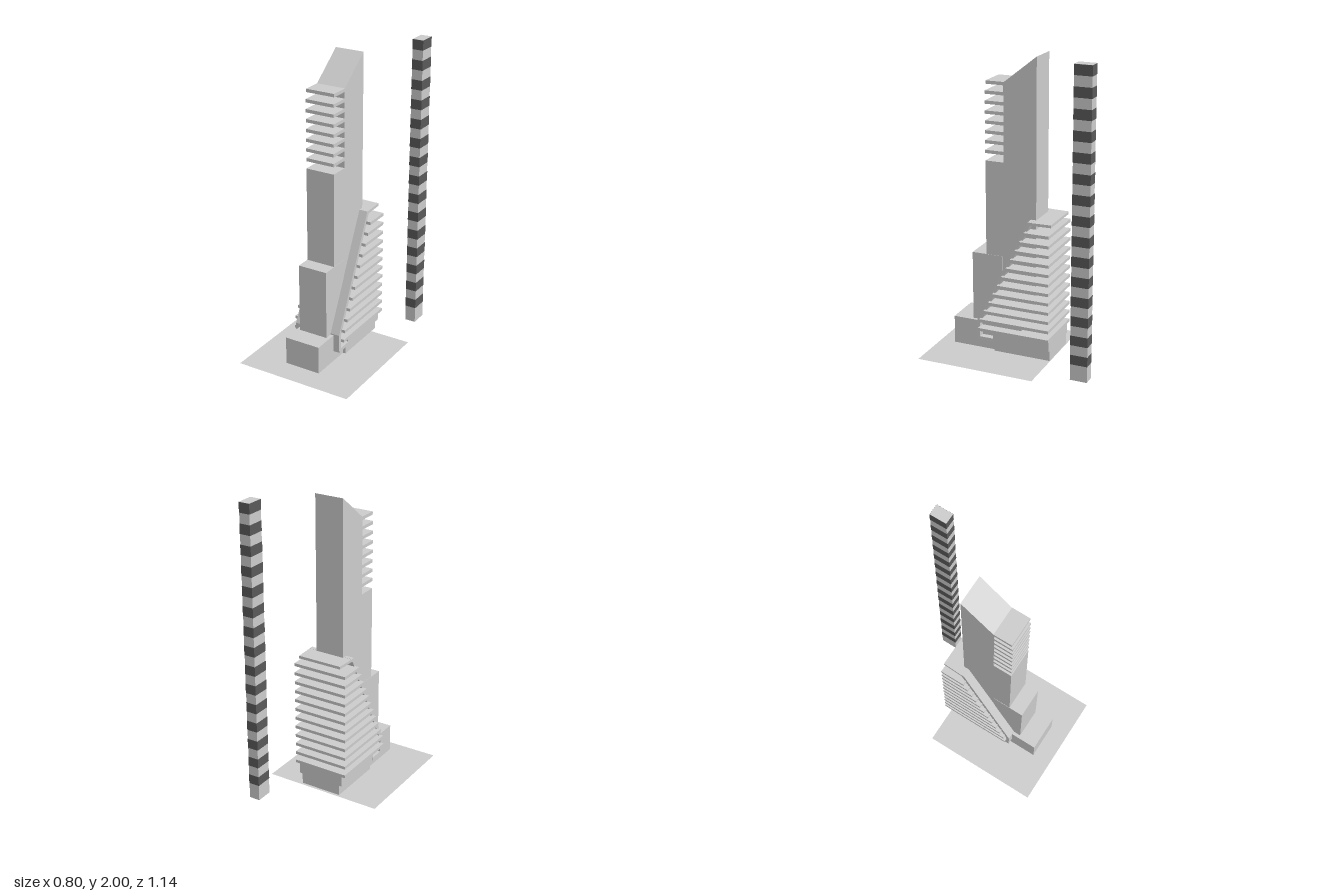
import * as THREE from 'three';

const grey = new THREE.MeshStandardMaterial({ color: 0xcccccc, flatShading: true });
const dark = new THREE.MeshStandardMaterial({ color: 0x595959, flatShading: true });

function add(parent, name, geometry, material = grey) {
  const mesh = new THREE.Mesh(geometry, material);
  mesh.name = name;
  parent.add(mesh);
  return mesh;
}

// Box given by its limits on each axis
function box(parent, name, [x0, x1], [y0, y1], [z0, z1], material) {
  const g = new THREE.BoxGeometry(x1 - x0, y1 - y0, z1 - z0);
  g.translate((x0 + x1) / 2, (y0 + y1) / 2, (z0 + z1) / 2);
  return add(parent, name, g, material);
}

// Side profile of [z, y] points, extruded across x and centred
function profile(points, width) {
  const shape = new THREE.Shape(points.map(([z, y]) => new THREE.Vector2(z, y)));
  const g = new THREE.ExtrudeGeometry(shape, { depth: width, bevelEnabled: false });
  g.translate(0, 0, -width / 2);
  g.rotateY(-Math.PI / 2);
  return g;
}

export function createModel() {
  const model = new THREE.Group();

  // Flat ground sheet
  const sheet = new THREE.PlaneGeometry(0.8, 0.795).rotateX(-Math.PI / 2).translate(0, 0, 0.168);
  const groundMaterial = grey.clone();
  groundMaterial.side = THREE.DoubleSide;
  add(model, 'groundPlate', sheet, groundMaterial);

  const building = new THREE.Group();
  building.name = 'building';
  building.position.x = -0.002;
  model.add(building);

  // Main tower with slanted roof and a recess at the upper front
  add(building, 'tower', profile([
    [-0.13, 0.025], [0.215, 0.025], [0.215, 1.295], [0.09, 1.295], [0.09, 1.8], [-0.13, 1.975],
  ], 0.196));

  // Balcony slabs in the recess
  for (let i = 0; i < 8; i++) {
    const y = 1.343 + i * 0.0627;
    box(building, 'balcony', [-0.098, 0.098], [y, y + 0.021], [0.08, i === 7 ? 0.21 : 0.216]);
  }

  // Stepped front blocks
  box(building, 'frontBlock', [-0.1, 0.1], [0.025, 0.673], [0.1, 0.312]);
  box(building, 'entranceBlock', [-0.122, 0.122], [0.025, 0.212], [-0.04, 0.44]);

  // Rear base: narrow plinth below a wider storey
  box(building, 'plinth', [-0.141, 0.141], [0.025, 0.1], [-0.245, 0.145]);
  box(building, 'baseStorey', [-0.16, 0.16], [0.095, 0.172], [-0.245, 0.145]);

  // Leaning panel, narrowing slightly upwards, with a foot folded to the rear
  const panel = profile([
    [0.14, 0.096], [0.26, 0.096], [0.26, 0.22], [-0.095, 0.947],
    [-0.122, 0.947], [0.236, 0.212], [0.236, 0.12], [0.14, 0.12],
  ], 2);
  const p = panel.attributes.position;
  for (let i = 0; i < p.count; i++) {
    p.setX(i, p.getX(i) * (0.164 - 0.008 * (p.getY(i) - 0.096) / 0.85));
  }
  panel.computeVertexNormals();
  add(building, 'leaningPanel', panel);

  // Floor slabs whose front edges follow the panel
  for (let i = 0; i < 12; i++) {
    const y = 0.168 + i * 0.0634;
    const front = Math.min(0.24, 0.24 - (y + 0.01 - 0.22) * 0.49);
    box(building, 'floorSlab', [-0.187, 0.187], [y, y + 0.02], [-0.25, front]);
  }

  // Narrow top slab, tapering to the rear
  const top = new THREE.Shape([[-0.15, 0.25], [0.15, 0.25], [0.156, 0.11], [-0.156, 0.11]]
    .map(([x, y]) => new THREE.Vector2(x, y)));
  const topSlab = new THREE.ExtrudeGeometry(top, { depth: 0.018, bevelEnabled: false });
  topSlab.rotateX(-Math.PI / 2).translate(0, 0.928, 0);
  add(building, 'topSlab', topSlab);

  // Separate striped mast behind the building
  const mast = new THREE.Group();
  mast.name = 'stripedMast';
  model.add(mast);
  box(mast, 'mastCore', [0.256, 0.329], [0.024, 2], [-0.569, -0.457]);
  for (let i = 0; i < 15; i++) {
    const y = 1.999 - i * 0.1289;
    box(mast, 'darkBand', [0.255, 0.33], [y - 0.064, y], [-0.57, -0.456], dark);
  }

  return model;
}
